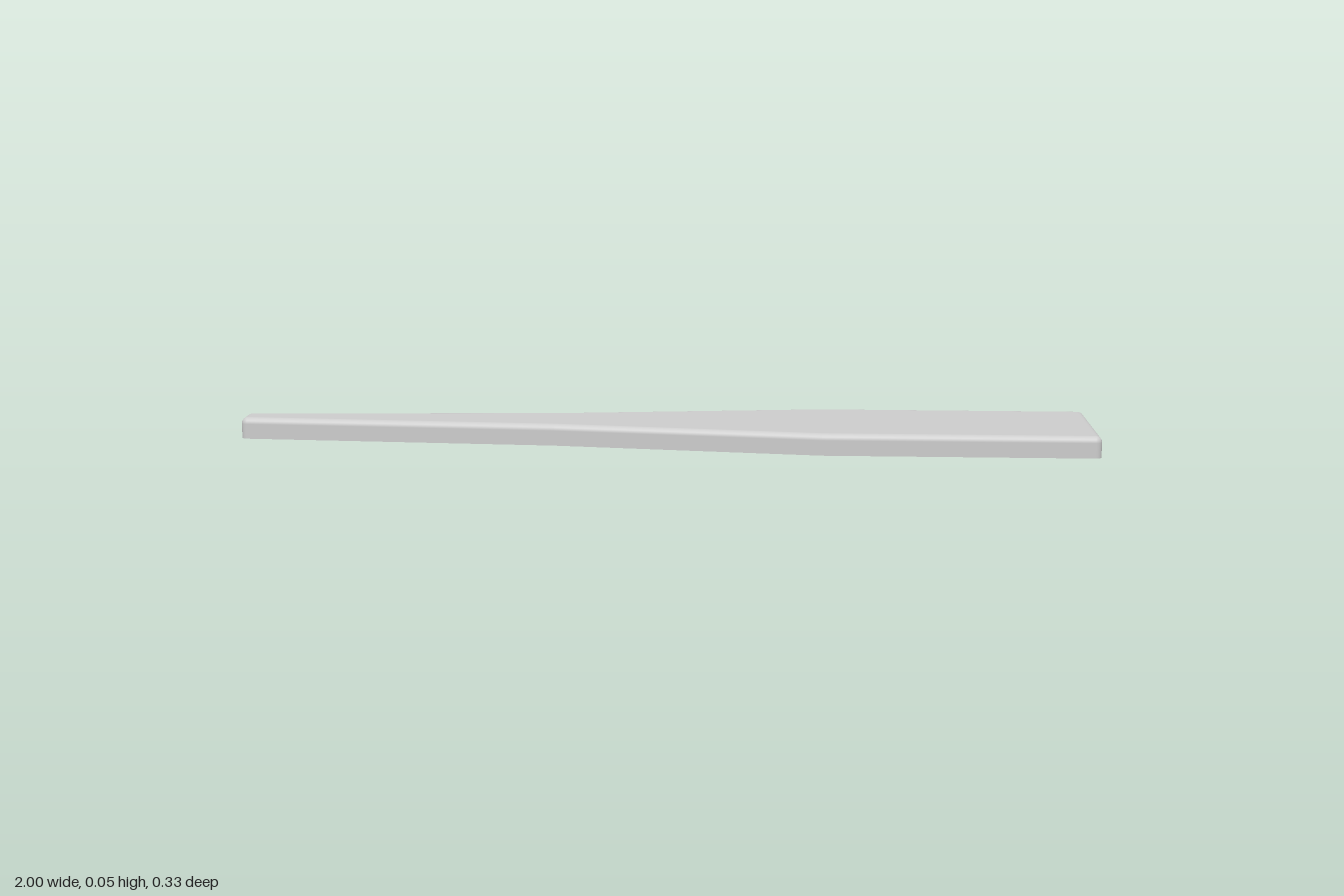
import * as THREE from 'three';

const HEIGHT = 0.05;
const R = 0.015; // radius of the top edge and the end corners

// Half of the outline, inset by R: [x, half width] from narrow tip to wide end
const half = [[-0.985, 0.021], [-0.25, 0.066], [0.37, 0.15], [0.985, 0.15]];

// Counter-clockwise inset outline, each point with its outward direction;
// convex corners fan into an arc, the concave ones keep a single direction
function outline() {
  const pts = [
    ...half.map(([x, w]) => new THREE.Vector2(x, -w)),
    ...[...half].reverse().map(([x, w]) => new THREE.Vector2(x, w)),
  ];
  const count = pts.length;
  const result = [];
  pts.forEach((p, i) => {
    const a = p.clone().sub(pts[(i + count - 1) % count]);
    const b = pts[(i + 1) % count].clone().sub(p);
    const start = Math.atan2(a.y, a.x) - Math.PI / 2;
    const turn = Math.atan2(a.cross(b), a.dot(b));
    const steps = turn > 0.5 ? 6 : turn > 0 ? 2 : 0;
    for (let k = 0; k <= steps; k++) {
      const angle = start + turn * (steps ? k / steps : 0.5);
      result.push({ p, n: new THREE.Vector2(Math.cos(angle), Math.sin(angle)) });
    }
  });
  return result;
}

// Upright wall that rolls over into the top face
function rimGeometry(loop) {
  const rings = [{ y: 0, t: 0 }];
  const steps = 6;
  for (let k = 0; k <= steps; k++) {
    const t = (k / steps) * Math.PI / 2;
    rings.push({ y: HEIGHT - R + R * Math.sin(t), t });
  }
  const position = [], normal = [], index = [];
  const n = loop.length;
  rings.forEach(({ y, t }, j) => {
    const c = Math.cos(t);
    loop.forEach((o, i) => {
      position.push(o.p.x + o.n.x * R * c, y, -(o.p.y + o.n.y * R * c));
      normal.push(o.n.x * c, Math.sin(t), -o.n.y * c);
      if (j === rings.length - 1) return;
      const a = j * n + i, b = j * n + (i + 1) % n;
      index.push(a, b, b + n, a, b + n, a + n);
    });
  });
  const g = new THREE.BufferGeometry();
  g.setAttribute('position', new THREE.Float32BufferAttribute(position, 3));
  g.setAttribute('normal', new THREE.Float32BufferAttribute(normal, 3));
  g.setIndex(index);
  return g;
}

export function createModel() {
  const group = new THREE.Group();
  group.name = 'taperedPaddle';
  const material = new THREE.MeshStandardMaterial({ color: 0xcccccc });
  const loop = outline();

  const add = (name, geometry) => {
    const mesh = new THREE.Mesh(geometry, material);
    mesh.name = name;
    group.add(mesh);
  };

  // Rounded rim
  add('rim', rimGeometry(loop));

  // Flat top face
  const inset = [...half.map(([x, w]) => new THREE.Vector2(x, -w)),
    ...[...half].reverse().map(([x, w]) => new THREE.Vector2(x, w))];
  add('topFace', new THREE.ShapeGeometry(new THREE.Shape(inset))
    .rotateX(-Math.PI / 2).translate(0, HEIGHT, 0));

  // Flat underside with a sharp edge
  const full = loop.map((o) => o.p.clone().addScaledVector(o.n, R));
  add('underside', new THREE.ShapeGeometry(new THREE.Shape(full)).rotateX(Math.PI / 2));

  return group;
}
